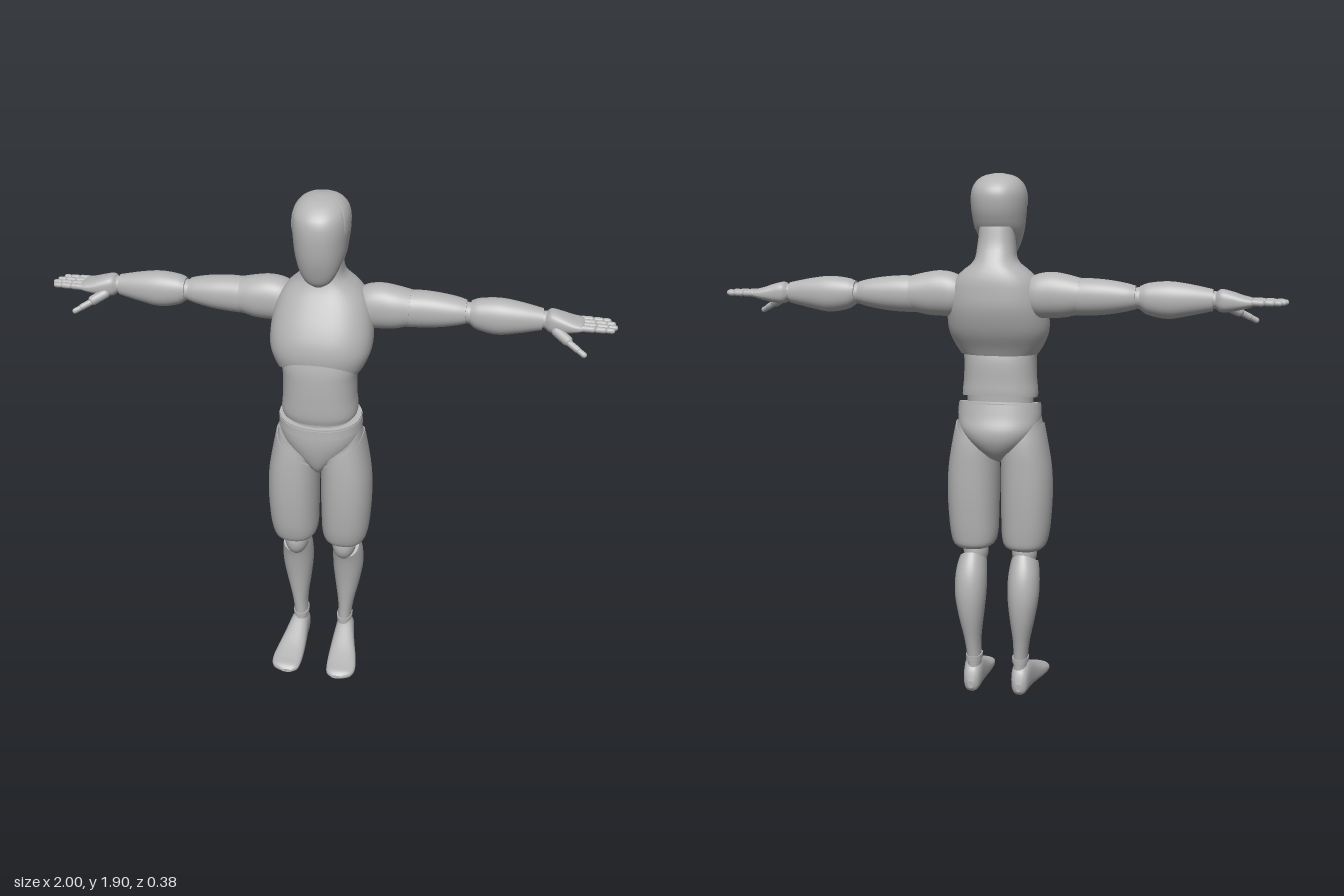
import * as THREE from 'three';

const material = new THREE.MeshStandardMaterial({ color: 0xb4b4b4 });
material.name = 'matte grey';

// Smooth interpolation through stations [t, a0, a1, b0, b1]
function sample(st, t) {
  const last = st.length - 1;
  t = THREE.MathUtils.clamp(t, st[0][0], st[last][0]);
  let i = 0;
  while (i < last - 1 && t > st[i + 1][0]) i++;
  const h = st[i + 1][0] - st[i][0], u = (t - st[i][0]) / h;
  const slope = (k, c) => {
    const p = st[Math.max(0, k - 1)], q = st[Math.min(last, k + 1)];
    return (q[c] - p[c]) / (q[0] - p[0]);
  };
  return [1, 2, 3, 4].map((c) => {
    const u2 = u * u, u3 = u2 * u;
    return (2 * u3 - 3 * u2 + 1) * st[i][c] + (3 * u2 - 2 * u3) * st[i + 1][c]
      + h * ((u3 - 2 * u2 + u) * slope(i, c) + (u3 - u2) * slope(i + 1, c));
  });
}

// Loft of rounded sections along an axis; low/high may vary around the section
function loft(axis, st, { n = 2.2, rows = 28, segs = 48, low, high, caps = true } = {}) {
  const pos = [], idx = [];
  const put = (a, b, t) => {
    if (axis === 'x') pos.push(t, a, b);
    else if (axis === 'y') pos.push(a, t, b);
    else pos.push(a, b, t);
    return pos.length / 3 - 1;
  };
  const tri = (a, b, c) => (axis === 'y' ? idx.push(a, c, b) : idx.push(a, b, c));
  const bend = (v) => Math.sign(v) * Math.abs(v) ** (2 / n);
  const rings = [];
  for (let i = 0; i <= rows; i++) {
    const v = (1 - Math.cos(Math.PI * i / rows)) / 2, ring = [];
    for (let j = 0; j < segs; j++) {
      const th = 2 * Math.PI * j / segs, c = Math.cos(th), s = Math.sin(th);
      const t0 = low ? low(c, s) : st[0][0];
      const t1 = high ? high(c, s) : st[st.length - 1][0];
      const t = t0 + (t1 - t0) * v, [a0, a1, b0, b1] = sample(st, t);
      ring.push([(a0 + a1) / 2 + (a1 - a0) / 2 * bend(c), (b0 + b1) / 2 + (b1 - b0) / 2 * bend(s), t]);
    }
    rings.push(ring);
    ring.forEach((p) => put(...p));
  }
  for (let i = 0; i < rows; i++) for (let j = 0; j < segs; j++) {
    const k = (j + 1) % segs, p = i * segs, q = p + segs;
    tri(p + j, p + k, q + k);
    tri(p + j, q + k, q + j);
  }
  // End caps with their own vertices keep the rim crisp
  if (caps) [rings[0], rings[rows]].forEach((ring, end) => {
    const ids = ring.map((p) => put(...p));
    const mid = put(...[0, 1, 2].map((c) => ring.reduce((sum, p) => sum + p[c], 0) / segs));
    ids.forEach((id, j) => {
      const next = ids[(j + 1) % segs];
      if (end) tri(mid, id, next); else tri(mid, next, id);
    });
  });
  const g = new THREE.BufferGeometry();
  g.setAttribute('position', new THREE.Float32BufferAttribute(pos, 3));
  g.setIndex(idx);
  g.computeVertexNormals();
  return g;
}

// Stations symmetric in x: [y, halfWidth, zFront, zBack]
const even = (rows) => rows.map(([y, w, f, b]) => [y, -w, w, b, f]);

function ball(x, y, z, rx, ry, rz) {
  return new THREE.SphereGeometry(1, 28, 20).scale(rx, ry, rz).translate(x, y, z);
}

function bone(p, q, r) {
  const a = new THREE.Vector3(...p), b = new THREE.Vector3(...q), d = b.clone().sub(a);
  const g = new THREE.CapsuleGeometry(r, Math.max(0.001, d.length() - 2 * r), 6, 14);
  g.applyQuaternion(new THREE.Quaternion().setFromUnitVectors(new THREE.Vector3(0, 1, 0), d.normalize()));
  return g.translate(...a.add(b).multiplyScalar(0.5).toArray());
}

function mirror(g) {
  const m = g.clone().scale(-1, 1, 1), ix = m.index.array;
  for (let i = 0; i < ix.length; i += 3) [ix[i + 1], ix[i + 2]] = [ix[i + 2], ix[i + 1]];
  m.computeVertexNormals();
  return m;
}

export function createModel() {
  const model = new THREE.Group();
  model.name = 'jointed figure';
  const add = (name, g) => {
    const mesh = new THREE.Mesh(g, material);
    mesh.name = name;
    model.add(mesh);
  };
  const pair = (name, g) => { add(name + 'Left', g); add(name + 'Right', mirror(g)); };

  // Head and the stepped hair cap
  const head = [[1.6, .018, .055, .02], [1.615, .042, .07, 0], [1.65, .064, .085, -.03], [1.7, .083, .099, -.1],
    [1.75, .091, .105, -.13], [1.8, .095, .105, -.142], [1.84, .091, .095, -.139], [1.87, .076, .067, -.115],
    [1.89, .048, .03, -.08], [1.898, .012, -.01, -.04]];
  add('head', loft('y', even(head)));
  const hair = head.map(([y, w, f, b]) => [y + .002, w + .003, f + .003, b - .003]);
  const hairline = (c, s) => (s > .45 ? 1.84 : s > -.08 ? 1.79 : 1.67 + .05 * Math.min(1, (-s - .08) / .5));
  add('hairCap', loft('y', even(hair), { low: hairline, segs: 96, caps: false }));

  // Neck and chest, with an arched lower edge
  add('chest', loft('y', even([[1.27, .138, .098, -.112], [1.3, .157, .11, -.128], [1.35, .177, .118, -.158],
    [1.4, .18, .112, -.178], [1.45, .175, .092, -.19], [1.5, .163, .065, -.19], [1.54, .144, .042, -.187],
    [1.572, .112, .024, -.178], [1.6, .077, .014, -.165], [1.65, .067, .006, -.138], [1.72, .06, 0, -.122]]),
  { n: 2.4, rows: 36, low: (c, s) => 1.272 + .065 * Math.max(0, s) ** 2 }));

  // Abdomen, waist and pelvis
  add('abdomen', loft('y', even([[1.09, .128, .104, -.1], [1.12, .136, .112, -.112], [1.18, .131, .115, -.112],
    [1.25, .13, .115, -.11], [1.3, .134, .112, -.1], [1.36, .13, .1, -.09]]),
  { n: 2.4, low: (c, s) => 1.112 - .018 * s }));
  add('waist', loft('y', even([[1.05, .12, .09, -.095], [1.14, .12, .09, -.095]])));
  add('pelvis', loft('y', even([[.87, .015, .06, -.02], [.9, .05, .08, -.095], [.95, .11, .096, -.136],
    [1, .144, .104, -.146], [1.05, .15, .104, -.13], [1.12, .145, .1, -.112]]),
  { high: (c, s) => 1.092 - .017 * s }));
  add('beltBand', loft('y', even([[1.03, .153, .108, -.138], [1.1, .149, .104, -.12]]),
    { low: (c, s) => 1.05 - .015 * s, high: (c, s) => 1.086 - .017 * s }));

  // Thighs with slanted hip collars
  const thigh = [[.552, .035, .158, -.085, .062], [.565, .018, .172, -.1, .08], [.6, .01, .182, -.107, .093],
    [.65, .008, .188, -.112, .102], [.75, .006, .193, -.118, .11], [.85, .006, .189, -.12, .111],
    [.95, .01, .173, -.118, .105], [1.05, .02, .153, -.1, .09]];
  const hipLine = (c) => .955 + .065 * c;
  pair('thigh', loft('y', thigh, { high: hipLine, n: 2.3 }));
  const collar = thigh.map(([t, a, b, c, d]) => [t, a + .006, b - .006, c + .006, d - .006]);
  pair('hipCollar', loft('y', collar, { low: (c) => hipLine(c) - .03, high: (c) => hipLine(c) + .024, n: 2.3 }));

  // Knees, calves and feet
  pair('knee', ball(.092, .53, -.005, .046, .07, .06));
  pair('calf', loft('y', [[.08, .063, .112, -.098, -.018], [.13, .062, .114, -.1, -.018], [.2, .062, .122, -.112, -.015],
    [.3, .05, .143, -.134, -.006], [.38, .042, .156, -.141, .006], [.45, .042, .156, -.132, .02],
    [.5, .048, .148, -.112, .034], [.55, .06, .13, -.08, .035]], { high: (c, s) => .51 - .03 * s }));
  pair('ankleCuff', loft('y', [[.122, .058, .118, -.105, -.013], [.14, .058, .118, -.106, -.013]]));
  pair('foot', loft('z', [[-.118, .08, .1, .02, .05], [-.105, .064, .117, .005, .09], [-.07, .056, .126, 0, .117],
    [-.03, .055, .132, 0, .116], [.02, .052, .143, 0, .092], [.08, .05, .158, 0, .062], [.14, .052, .165, 0, .042],
    [.175, .06, .152, .002, .034], [.19, .08, .12, .008, .022]], { n: 2.5 }));

  // Arms: shoulder, upper arm, elbow, forearm
  pair('shoulder', loft('x', [[.11, 1.43, 1.54, -.145, -.04], [.15, 1.41, 1.56, -.156, -.024],
    [.2, 1.408, 1.567, -.158, -.02], [.25, 1.412, 1.56, -.157, -.022], [.3, 1.424, 1.548, -.155, -.032]]));
  pair('upperArm', loft('x', [[.26, 1.42, 1.545, -.152, -.03], [.33, 1.42, 1.548, -.156, -.036],
    [.4, 1.426, 1.543, -.155, -.04], [.46, 1.437, 1.533, -.15, -.048], [.49, 1.445, 1.525, -.142, -.055]]));
  pair('elbow', ball(.5, 1.483, -.098, .05, .037, .037));
  pair('forearm', loft('x', [[.505, 1.445, 1.525, -.14, -.057], [.53, 1.428, 1.535, -.148, -.05],
    [.6, 1.415, 1.542, -.154, -.044], [.67, 1.426, 1.534, -.148, -.05], [.75, 1.444, 1.518, -.134, -.064]]));
  pair('wrist', ball(.757, 1.481, -.098, .04, .03, .03));

  // Hands with jointed fingers and thumb
  pair('palm', loft('x', [[.758, 1.455, 1.506, -.128, -.068], [.775, 1.442, 1.518, -.138, -.058],
    [.81, 1.443, 1.512, -.141, -.05], [.85, 1.452, 1.499, -.145, -.045], [.88, 1.461, 1.491, -.145, -.046],
    [.89, 1.468, 1.485, -.14, -.052]], { n: 2.6 }));
  [[-.135, .978], [-.11, .993], [-.084, 1], [-.059, .99]].forEach(([z, tip], f) => {
    const start = .87, len = tip - start;
    [[0, .48], [.42, .78], [.72, 1]].forEach(([u, v], k) => {
      pair(`finger${f + 1}Joint${k + 1}`, bone([start + len * u, 1.477, z], [start + len * v, 1.477, z], .0115 - .001 * k));
    });
  });
  pair('thumbBase', bone([.785, 1.465, -.07], [.85, 1.432, -.028], .018));
  pair('thumbMiddle', bone([.83, 1.441, -.036], [.882, 1.414, -.01], .0115));
  pair('thumbTip', bone([.866, 1.422, -.018], [.904, 1.402, 0], .01));
  return model;
}
